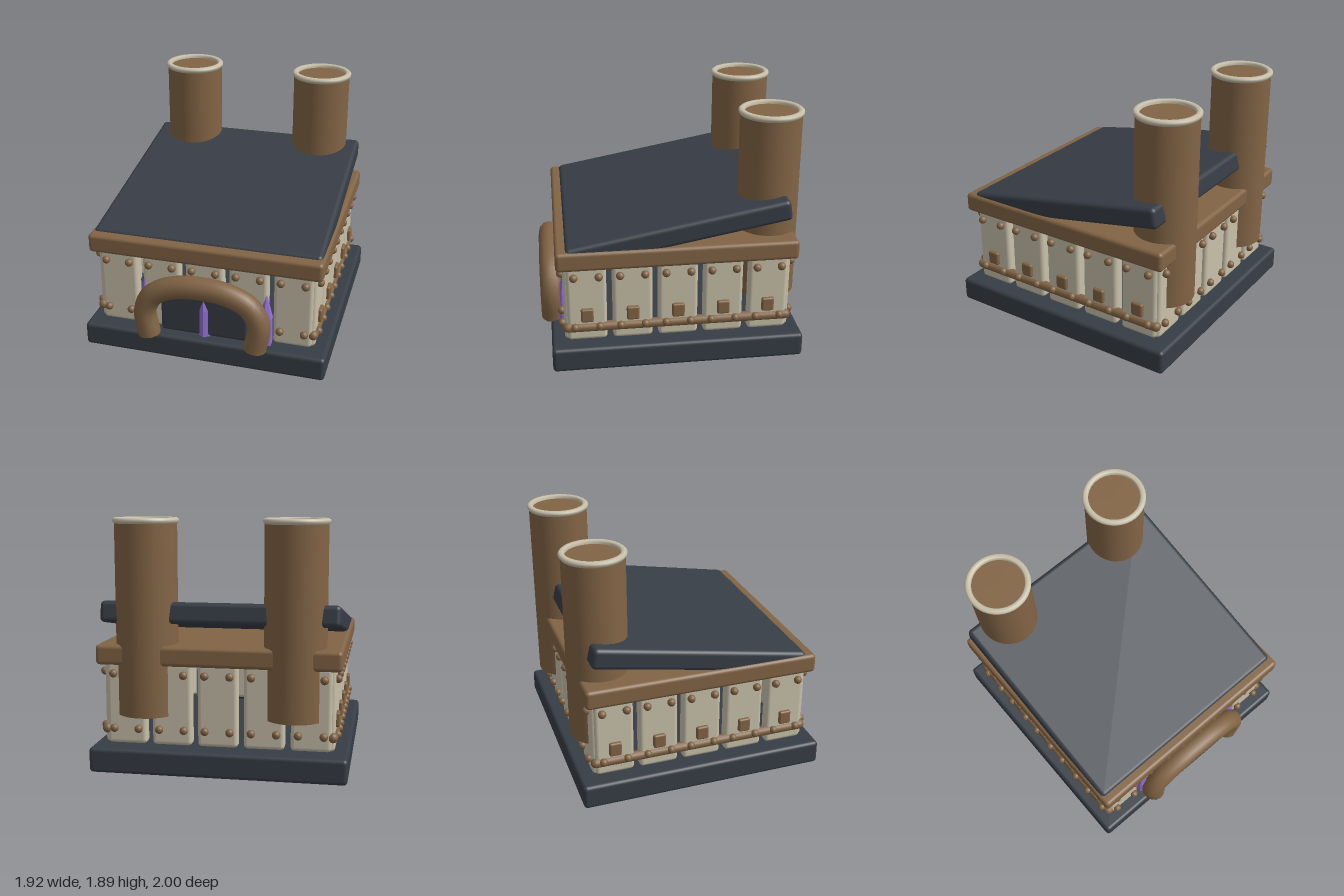
import * as THREE from 'three';
import { RoundedBoxGeometry } from 'three/addons/geometries/RoundedBoxGeometry.js';

const material = (name, color) => {
  const m = new THREE.MeshStandardMaterial({ color });
  m.name = name;
  return m;
};

export function createModel() {
  const slate = material('slate', 0x373d46);
  const wood = material('brown wood', 0x826445);
  const plaster = material('cream plaster', 0xc8c0aa);
  const violet = material('violet crystal', 0x9370d6);
  const model = new THREE.Group();
  model.name = 'house';

  const add = (parent, name, geometry, mat, x = 0, y = 0, z = 0) => {
    const mesh = new THREE.Mesh(geometry, mat);
    mesh.name = name;
    mesh.position.set(x, y, z);
    parent.add(mesh);
    return mesh;
  };
  const box = (w, h, d, r = 0.03) => new RoundedBoxGeometry(w, h, d, 3, r);

  // Base, ceiling beam and sloping roof
  add(model, 'base', box(1.92, 0.19, 1.92), slate, 0, 0.095, -0.03);
  add(model, 'ceilingBeam', box(1.82, 0.15, 1.815), wood, 0, 0.885, -0.0275);
  const roof = add(model, 'roof', box(1.78, 0.16, 1.69, 0.035), slate, 0, 1.05, -0.035);
  roof.rotation.x = 0.182;

  // Four walls of five separate panels; +z is the outside of each wall
  const panelGeo = box(0.3, 0.62, 0.1);
  const studGeo = new THREE.SphereGeometry(0.031, 14, 10);
  const blockGeo = box(0.095, 0.11, 0.06, 0.015);
  const walls = [
    { name: 'frontWall', angle: 0, out: 0.86, side: false },
    { name: 'leftWall', angle: Math.PI / 2, out: 0.86, side: true },
    { name: 'backWall', angle: Math.PI, out: 0.86, side: false },
    { name: 'rightWall', angle: -Math.PI / 2, out: 0.86, side: true },
  ];
  for (const { name, angle, out, side } of walls) {
    const wall = new THREE.Group();
    wall.name = name;
    wall.rotation.y = angle;
    wall.position.z = -0.03;
    model.add(wall);
    for (let i = -2; i <= 2; i++) {
      const x = i * 0.344;
      add(wall, 'panel', panelGeo, plaster, x, 0.52, out - 0.05);
      for (const s of [-1, 1]) {
        add(wall, 'stud', studGeo, wood, x + s * 0.093, 0.745, out + 0.014);
        // the doorway takes the place of the lower studs in front
        if (name !== 'frontWall' || Math.abs(i) === 2)
          add(wall, 'stud', studGeo, wood, x + s * 0.093, 0.33, out + 0.014);
      }
      if (side) add(wall, 'block', blockGeo, wood, x, 0.427, out - 0.003);
    }
    if (side) {
      const rail = add(wall, 'rail', new THREE.CapsuleGeometry(0.038, 1.67, 5, 14), wood, 0, 0.318, out - 0.015);
      rail.rotation.z = Math.PI / 2;
    }
  }

  // Door
  add(model, 'door', box(0.7, 0.35, 0.1, 0.03), slate, 0, 0.365, 0.8);

  // Arch around the door
  const half = [[0.422, 0.19], [0.45, 0.4], [0.375, 0.545], [0.21, 0.625]];
  const points = [
    ...half.map(([x, y]) => new THREE.Vector3(-x, y, 0.915)),
    new THREE.Vector3(0, 0.648, 0.915),
    ...half.slice().reverse().map(([x, y]) => new THREE.Vector3(x, y, 0.915)),
  ];
  const arch = new THREE.CatmullRomCurve3(points);
  add(model, 'arch', new THREE.TubeGeometry(arch, 40, 0.088, 12), wood);
  for (const s of [-1, 1]) {
    const cap = add(model, 'archFoot', new THREE.CircleGeometry(0.088, 12), wood, s * 0.422, 0.19, 0.915);
    cap.rotation.x = Math.PI / 2;
  }

  // Pointed six-sided crystals, with a corner facing forwards
  const shaftGeo = new THREE.CylinderGeometry(0.055, 0.055, 0.23, 6).toNonIndexed();
  const tipGeo = new THREE.ConeGeometry(0.055, 0.23, 6, 1, true).toNonIndexed();
  shaftGeo.computeVertexNormals();
  tipGeo.computeVertexNormals();
  for (const x of [-0.48, 0, 0.48]) {
    const crystal = new THREE.Group();
    crystal.name = 'crystal';
    crystal.position.set(x, 0, 0.815);
    model.add(crystal);
    add(crystal, 'crystalShaft', shaftGeo, violet, 0, 0.305, 0);
    add(crystal, 'crystalTip', tipGeo, violet, 0, 0.535, 0);
  }

  // Chimneys with rounded rims
  const pipeGeo = new THREE.CylinderGeometry(0.231, 0.231, 1.43, 40);
  const rimProfile = [
    [0.198, 1.855], [0.198, 1.875], [0.206, 1.888], [0.23, 1.888], [0.243, 1.877],
    [0.243, 1.862], [0.232, 1.846], [0.2, 1.846], [0.198, 1.855],
  ].map(([x, y]) => new THREE.Vector2(x, y)).reverse();
  const rimGeo = new THREE.LatheGeometry(rimProfile, 40);
  for (const x of [-0.557, 0.557]) {
    const chimney = new THREE.Group();
    chimney.name = 'chimney';
    chimney.position.set(x, 0, -0.755);
    model.add(chimney);
    add(chimney, 'pipe', pipeGeo, wood, 0, 1.145, 0);
    add(chimney, 'rim', rimGeo, plaster);
  }
  return model;
}
